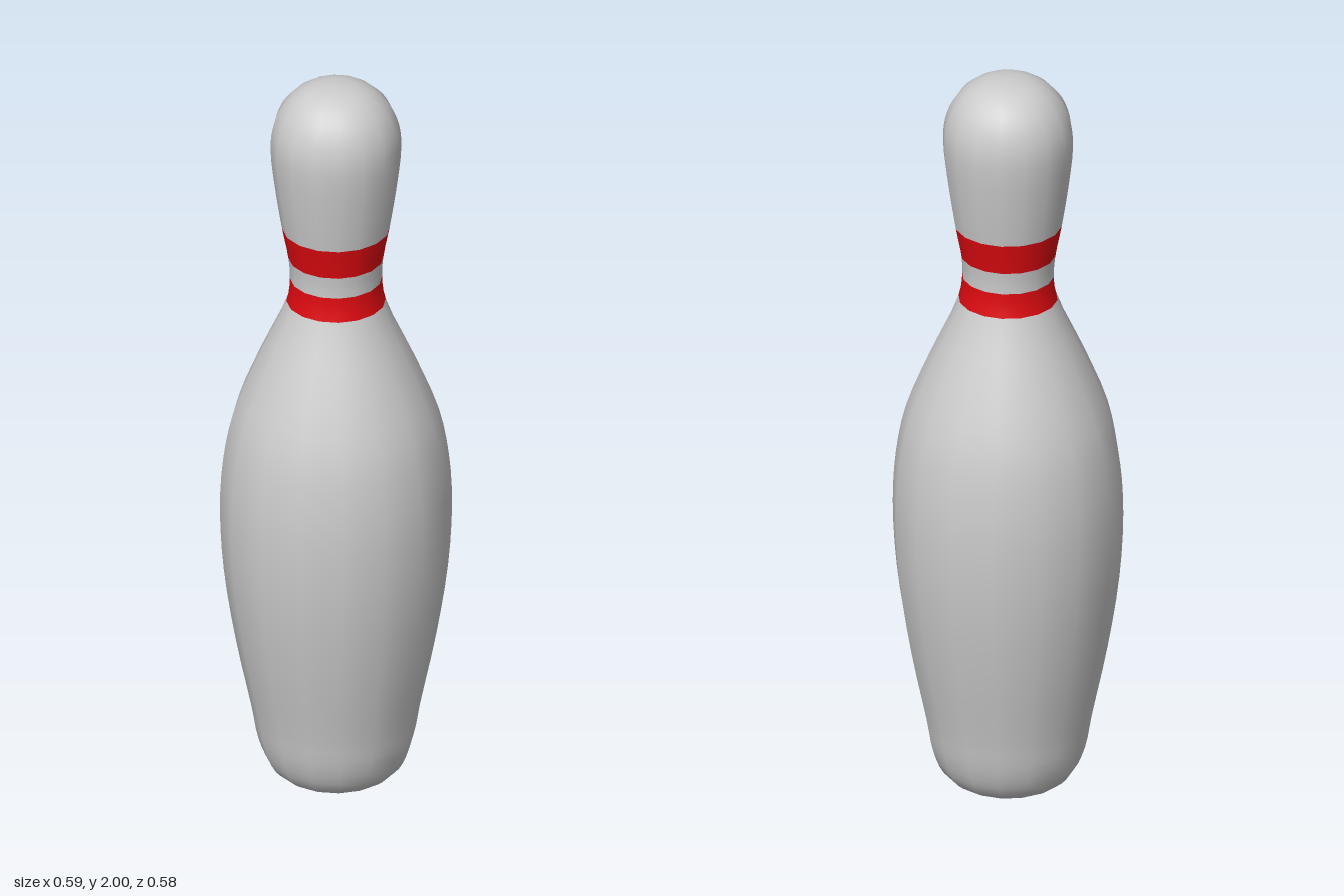
import * as THREE from 'three';

// Outline from base to crown: [radius, height]
const OUTLINE = [
  [0, 0], [0.07, 0.003], [0.13, 0.013], [0.17, 0.045], [0.198, 0.11], [0.215, 0.2],
  [0.256, 0.4], [0.286, 0.6], [0.296, 0.78], [0.288, 0.92], [0.263, 1.05], [0.2, 1.21],
  [0.127, 1.375], [0.118, 1.44], [0.122, 1.5], [0.138, 1.585],
  [0.157, 1.71], [0.167, 1.81], [0.163, 1.87], [0.143, 1.925],
  [0.106, 1.968], [0.057, 1.993], [0, 2],
];
const SIDES = 16;
const DEPTH = 0.982; // slightly narrower front to back

const curve = new THREE.CatmullRomCurve3(OUTLINE.map(([r, y]) => new THREE.Vector3(r, y, 0)));

// Revolves the outline between two of its control points
function section(name, from, to, material) {
  const steps = (to - from) * 3;
  const points = [];
  for (let i = 0; i <= steps; i++) {
    const p = curve.getPoint((from + (i / steps) * (to - from)) / (OUTLINE.length - 1));
    points.push(new THREE.Vector2(Math.max(p.x, 0), Math.max(p.y, 0)));
  }
  const geometry = new THREE.LatheGeometry(points, SIDES);
  geometry.scale(1, 1, DEPTH);
  const mesh = new THREE.Mesh(geometry, material);
  mesh.name = name;
  return mesh;
}

export function createModel() {
  const group = new THREE.Group();
  group.name = 'bowlingPin';
  const grey = new THREE.MeshStandardMaterial({ color: 0xcccccc });
  const red = new THREE.MeshStandardMaterial({ color: 0xdd0a10 });

  group.add(
    section('body', 0, 12, grey),
    section('lowerStripe', 12, 13, red),
    section('neck', 13, 14, grey),
    section('upperStripe', 14, 15, red),
    section('head', 15, 22, grey),
  );
  return group;
}
